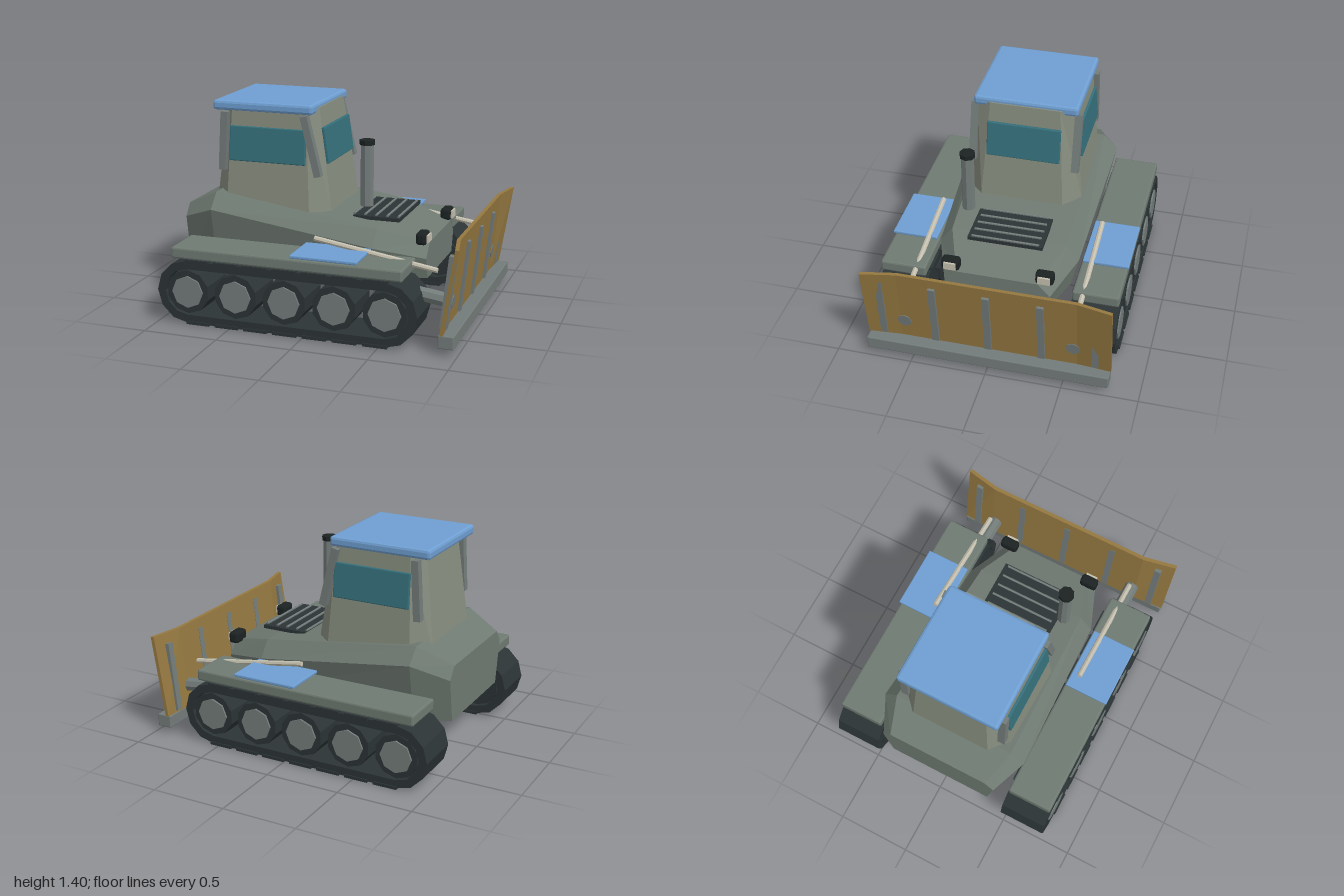
import * as THREE from 'three';
import { RoundedBoxGeometry } from 'three/addons/geometries/RoundedBoxGeometry.js';

const paint = (color) => new THREE.MeshStandardMaterial({ color, flatShading: true });
const hullPaint = paint(0x6f7a72), cabPaint = paint(0x868c7e), steel = paint(0x737c7a), dark = paint(0x2c3436),
  black = paint(0x1c2222), blue = paint(0x6f9fd2), glass = paint(0x35707c), yellow = paint(0x957840), chrome = paint(0xc4bfae);

function add(parent, name, geometry, material, x = 0, y = 0, z = 0) {
  const mesh = new THREE.Mesh(geometry, material);
  mesh.name = name;
  mesh.position.set(x, y, z);
  parent.add(mesh);
  return mesh;
}

// Box given by its minimum and maximum corners, with an optional chamfer
function block(parent, name, material, [x0, y0, z0], [x1, y1, z1], bevel = 0) {
  const size = [x1 - x0, y1 - y0, z1 - z0];
  const geometry = bevel ? new RoundedBoxGeometry(...size, 1, bevel) : new THREE.BoxGeometry(...size);
  return add(parent, name, geometry, material, (x0 + x1) / 2, (y0 + y1) / 2, (z0 + z1) / 2);
}

// Round bar between two points
function bar(parent, name, material, from, to, radius, sides = 8) {
  const a = new THREE.Vector3(...from), b = new THREE.Vector3(...to);
  const mesh = add(parent, name, new THREE.CylinderGeometry(radius, radius, a.distanceTo(b), sides), material);
  mesh.position.copy(a).add(b).multiplyScalar(0.5);
  mesh.quaternion.setFromUnitVectors(new THREE.Vector3(0, 1, 0), b.sub(a).normalize());
  return mesh;
}

// Closed solid through cross-sections, each counter-clockwise seen from the last end
function loft(sections) {
  const n = sections[0].length, index = [], last = (sections.length - 1) * n;
  for (let i = 0; i < sections.length - 1; i++) {
    for (let j = 0; j < n; j++) {
      const a = i * n + j, b = i * n + (j + 1) % n;
      index.push(a, b, a + n, b, b + n, a + n);
    }
  }
  for (let k = 1; k < n - 1; k++) index.push(0, k + 1, k, last, last + k, last + k + 1);
  const geometry = new THREE.BufferGeometry();
  geometry.setAttribute('position', new THREE.Float32BufferAttribute(sections.flat(2), 3));
  geometry.setIndex(index);
  const flat = geometry.toNonIndexed();
  flat.computeVertexNormals();
  return flat;
}

// Stadium outline of a track belt
function beltPoints(radius) {
  const points = [];
  for (const [cx, start] of [[0.54, -Math.PI / 2], [-0.79, Math.PI / 2]]) {
    for (let i = 0; i <= 6; i++) {
      const t = start + i * Math.PI / 6;
      points.push(new THREE.Vector2(cx + radius * Math.cos(t), 0.217 + radius * Math.sin(t)));
    }
  }
  return points;
}

// Track, wheels, fender and lift gear of one side
function trackSide(s) {
  const g = new THREE.Group();
  g.name = s > 0 ? 'leftTrackUnit' : 'rightTrackUnit';
  const shape = new THREE.Shape(beltPoints(0.21));
  shape.holes.push(new THREE.Path(beltPoints(0.155)));
  add(g, 'trackBelt', new THREE.ExtrudeGeometry(shape, { depth: 0.315, bevelEnabled: false }), dark, 0, 0, s * 0.637 - 0.1575);
  for (let i = 0; i < 7; i++) {
    const x = -0.72 + i * 0.2;
    for (const y of [0.01, 0.427]) add(g, 'trackPad', new THREE.BoxGeometry(0.16, 0.02, 0.33), dark, x, y, s * 0.637);
  }
  for (let i = 0; i < 5; i++) {
    const x = -0.79 + i * 0.3325;
    bar(g, 'roadWheel', dark, [x, 0.217, s * 0.49], [x, 0.217, s * 0.785], 0.147, 10);
    bar(g, 'wheelHub', steel, [x, 0.217, s * 0.75], [x, 0.217, s * 0.797], 0.107, 8);
  }
  add(g, 'fender', new RoundedBoxGeometry(1.55, 0.075, 0.305, 1, 0.012), hullPaint, -0.125, 0.473, s * 0.64);
  add(g, 'fenderPanel', new RoundedBoxGeometry(0.44, 0.022, 0.305, 1, 0.006), blue, 0.14, 0.53, s * 0.648);
  bar(g, 'liftRod', chrome, [0, 0.59, s * 0.555], [0.81, 0.46, s * 0.555], 0.018);
  bar(g, 'pushArm', steel, [0.02, 0.39, s * 0.555], [0.915, 0.27, s * 0.555], 0.048);
  return g;
}

export function createModel() {
  const model = new THREE.Group();
  model.name = 'bulldozer';

  // Hull: x, shoulder y and half-width, deck y and half-width, bottom half-width
  const hull = [
    [-0.97, 0.61, 0.41, 0.69, 0.35, 0.36], [-0.74, 0.70, 0.515, 0.80, 0.42, 0.44],
    [0.36, 0.53, 0.47, 0.64, 0.385, 0.42], [0.68, 0.46, 0.35, 0.55, 0.27, 0.31],
  ].map(([x, my, mz, ty, tz, bz]) => [
    [x, 0.32, bz], [x, 0.32, -bz], [x, my, -mz], [x, ty, -tz], [x, ty, tz], [x, my, mz],
  ]);
  add(model, 'hull', loft(hull), hullPaint);

  // Cab: chamfered box narrowing upwards
  const cab = [
    [0.70, -0.795, 0.015, 0.39, 0.28, -0.68, -0.1], [1.37, -0.715, -0.08, 0.335, 0.235, -0.65, -0.135],
  ].map(([y, x0, x1, z, zi, xb, xf]) => [
    [x1, y, zi], [x1, y, -zi], [xf, y, -z], [xb, y, -z], [x0, y, -zi], [x0, y, zi], [xb, y, z], [xf, y, z],
  ]);
  add(model, 'cab', loft(cab), cabPaint);
  block(model, 'roof', blue, [-0.785, 1.335, -0.35], [-0.09, 1.4, 0.35], 0.018);
  add(model, 'frontWindow', new RoundedBoxGeometry(0.025, 0.24, 0.495, 1, 0.006), glass, -0.036, 1.125, 0).rotation.z = 0.14;
  for (const s of [1, -1]) {
    const win = add(model, 'sideWindow', new RoundedBoxGeometry(0.53, 0.23, 0.025, 1, 0.006), glass, -0.395, 1.125, s * 0.359);
    win.rotation.x = -s * 0.085;
    add(model, 'frontPillar', new THREE.BoxGeometry(0.048, 0.4, 0.05), steel, -0.095, 1.135, s * 0.348).rotation.z = 0.24;
    add(model, 'rearPillar', new THREE.BoxGeometry(0.048, 0.39, 0.05), steel, -0.705, 1.135, s * 0.348).rotation.z = -0.06;
  }

  // Exhaust stack
  bar(model, 'exhaustPipe', steel, [0.265, 0.765, 0.295], [0.265, 1.175, 0.295], 0.044);
  bar(model, 'exhaustCap', black, [0.265, 1.165, 0.295], [0.265, 1.195, 0.295], 0.052);

  // Hood grille
  block(model, 'grille', dark, [0.155, 0.655, -0.25], [0.47, 0.678, 0.25]);
  for (let i = 0; i < 5; i++) bar(model, 'grilleSlat', steel, [0.155 + i * 0.075, 0.683, -0.225], [0.155 + i * 0.075, 0.683, 0.225], 0.008, 6);

  // Headlights
  for (const s of [1, -1]) {
    block(model, 'headlight', black, [0.61, 0.55, s * 0.31 - 0.06], [0.68, 0.63, s * 0.31 + 0.06], 0.018);
    block(model, 'headlightLens', chrome, [0.675, 0.565, s * 0.31 - 0.04], [0.693, 0.615, s * 0.31 + 0.04]);
  }

  // Blade with forward-swept ends, ribs and cutting edge
  const blade = [[-0.805, 0.045], [-0.58, 0], [0.58, 0], [0.805, 0.045]].map(([z, dx]) => [
    [0.872 + dx * 0.4, 0.13, z], [0.895 + dx * 0.4, 0.13, z], [0.957 + dx, 0.68, z], [0.932 + dx, 0.68, z],
  ]);
  add(model, 'blade', loft(blade), yellow);
  for (let i = -2; i <= 2; i++) {
    add(model, 'bladeRib', new THREE.BoxGeometry(0.046, 0.47, 0.046), steel, 0.918, 0.378, i * 0.35).rotation.z = -0.115;
  }
  block(model, 'cuttingEdge', steel, [0.88, 0.045, -0.8], [0.98, 0.13, 0.8], 0.006);

  model.add(trackSide(1), trackSide(-1));
  return model;
}
